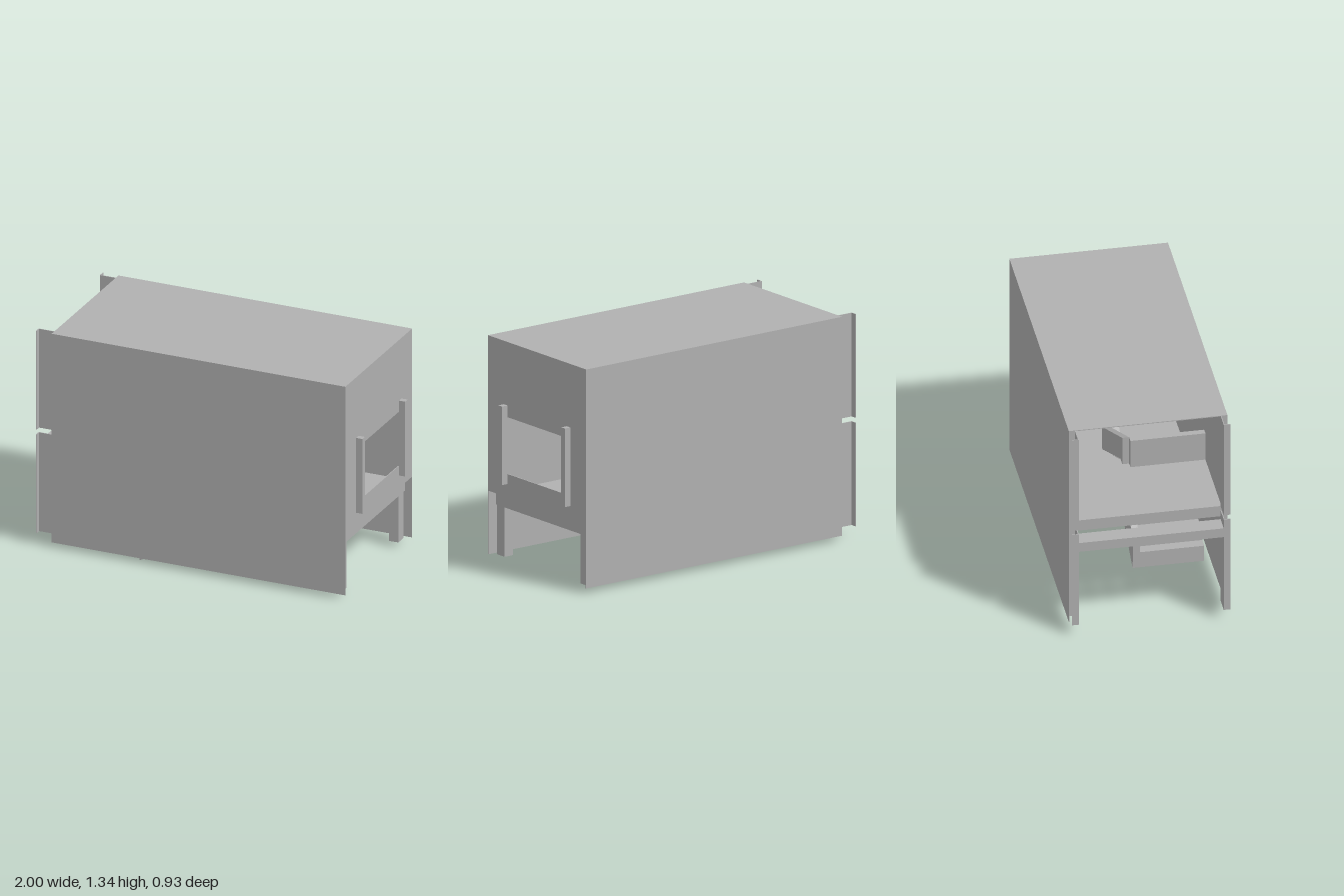
import * as THREE from 'three';

export function createModel() {
  const model = new THREE.Group();
  const grey = new THREE.MeshStandardMaterial({ color: 0xb0b0b0, side: THREE.DoubleSide });
  grey.name = 'plain grey';

  const add = (name, geometry) => {
    const mesh = new THREE.Mesh(geometry, grey);
    mesh.name = name;
    model.add(mesh);
    return mesh;
  };
  // Box given by its limits on each axis
  const box = (name, x0, x1, y0, y1, z0, z1) =>
    add(name, new THREE.BoxGeometry(x1 - x0, y1 - y0, z1 - z0))
      .position.set((x0 + x1) / 2, (y0 + y1) / 2, (z0 + z1) / 2);
  const toVectors = points => points.map(([x, y]) => new THREE.Vector2(x, y));
  // Outline in x and y, extruded from z0 to z1
  const slab = (name, points, z0, z1) => {
    const shape = new THREE.Shape(toVectors(points));
    add(name, new THREE.ExtrudeGeometry(shape, { depth: z1 - z0, bevelEnabled: false }))
      .position.z = z0;
  };

  const W = 0.465, T = 0.005, END = 0.96, DOOR = -0.9;
  const BASE = 0.07, MID = 0.4, UPPER = 0.72, TOP = 1.34;
  const X0 = -0.36, X1 = 0.26, STEPS = 10, RAIL = 0.18;

  // Outer shell: roof and the end wall with its window
  box('roof', DOOR, END, TOP - T, TOP, -W, W);
  const wall = new THREE.Shape(toVectors([[-W, 0.41], [W, 0.41], [W, TOP], [-W, TOP]]));
  wall.holes.push(new THREE.Path(
    toVectors([[-0.28, 0.55], [-0.28, 0.89], [0.28, 0.89], [0.28, 0.55]])));
  const endWall = add('endWall', new THREE.ExtrudeGeometry(wall, { depth: T, bevelEnabled: false }));
  endWall.rotation.y = Math.PI / 2;
  endWall.position.x = END - T;

  // Parts mirrored front to back
  for (const s of [-1, 1]) {
    const sideBox = (name, x0, x1, y0, y1, za, zb) =>
      box(name, x0, x1, y0, y1, Math.min(s * za, s * zb), Math.max(s * za, s * zb));
    sideBox('sideWall', DOOR, END, 0.03, TOP, W - T, W);
    // Upright bars beside the window
    sideBox('windowBar', END, 1, 0.49, 0.96, 0.28, 0.315);
    // Legs below the half landing
    sideBox('landingLeg', 0.86, 0.92, 0.03, 0.39, 0.36, 0.43);
    // Door jambs with outward flanges, one set for each storey
    sideBox('jambReturn', DOOR, DOOR + T, BASE, TOP, 0.43, W);
    for (const [y0, y1] of [[BASE, 0.69], [UPPER, TOP]]) {
      sideBox('doorJamb', -1, DOOR, y0, y1, 0.425, 0.43);
      sideBox('doorFlange', -1, -1 + T, y0, y1, 0.425, W);
    }
  }
  box('doorHeader', -1, DOOR, 0.57, 0.63, -0.43, 0.43);

  // Floors
  box('halfLanding', X1, 0.93, 0.33, MID, -0.43, 0.43);
  box('upperLanding', DOOR, X0, 0.65, UPPER, -0.43, 0.43);

  // A flight runs from (xa, ya) up to (xb, yb) with a sloping underside
  const flight = (name, xa, ya, xb, yb, z0, z1) => {
    const points = [[xa, ya - 0.07]];
    const run = (xb - xa) / STEPS, rise = (yb - ya) / STEPS;
    for (let i = 0; i < STEPS; i++) {
      const y = ya + (i + 1) * rise;
      points.push([xa + i * run, y], [xa + (i + 1) * run, y]);
    }
    points.push([xb, yb - 0.07]);
    slab(name, points, z0, z1);
  };
  flight('lowerFlight', X0, BASE, X1, MID, 0.01, 0.43);
  flight('upperFlight', X1, MID, X0, UPPER, -0.43, -0.01);

  // Solid parapets follow each flight and guard the upper landing
  const parapet = (name, ya, yb, z0, z1) =>
    slab(name, [[X0, ya], [X1, yb], [X1, yb + RAIL], [X0, ya + RAIL]], z0, z1);
  parapet('lowerParapet', BASE, MID, 0.005, 0.045);
  parapet('upperParapet', UPPER, MID, -0.05, -0.01);
  box('lowerNewel', X0 - 0.05, X0, BASE, BASE + RAIL + 0.01, 0.003, 0.045);
  box('turnNewel', X1, X1 + 0.04, MID, MID + RAIL + 0.005, -0.045, 0.045);
  box('landingParapet', X0 - 0.04, X0, 0.63, UPPER + RAIL, -0.01, 0.43);

  return model;
}
